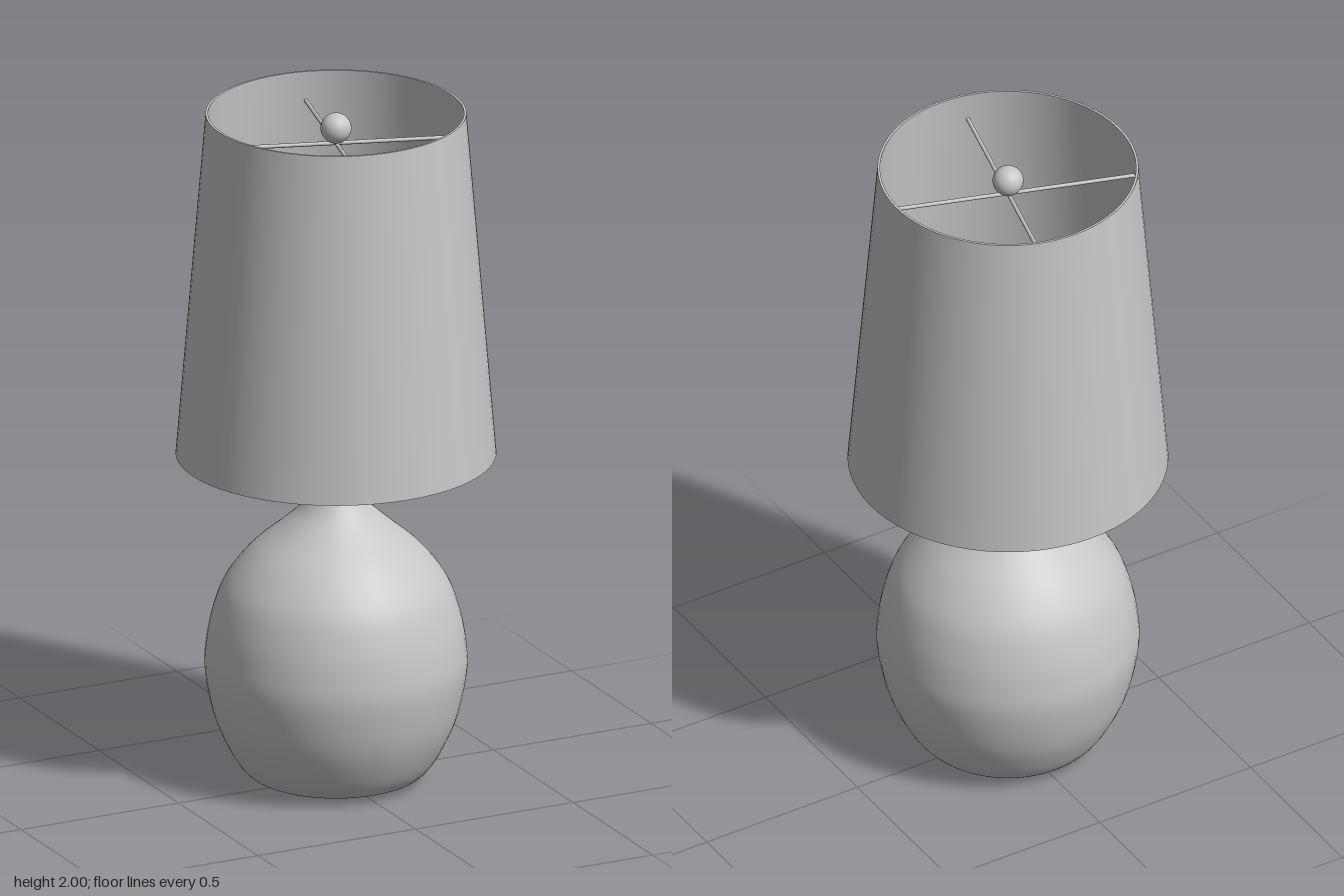
import * as THREE from 'three';

const grey = new THREE.MeshStandardMaterial({ color: 0xc6c6c6 });
grey.name = 'plain grey';

const points = (list) => list.map(([r, y]) => new THREE.Vector2(r, y));

// Smooth turned surface through a few radius/height points
function turned(name, list, samples) {
  const curve = new THREE.SplineCurve(points(list));
  const profile = curve.getPoints(samples);
  profile.forEach((p) => { p.x = Math.max(p.x, 0); });
  const mesh = new THREE.Mesh(new THREE.LatheGeometry(profile, 64), grey);
  mesh.name = name;
  return mesh;
}

// Cone-shaped wall between two rings, facing by order of the points
function ring(name, r1, y1, r2, y2) {
  const mesh = new THREE.Mesh(new THREE.LatheGeometry(points([[r1, y1], [r2, y2]]), 72), grey);
  mesh.name = name;
  return mesh;
}

export function createModel() {
  const lamp = new THREE.Group();
  lamp.name = 'tableLamp';

  // Gourd-shaped body with slightly domed foot
  lamp.add(turned('body', [
    [0, 0.005], [0.12, 0.009], [0.22, 0.018], [0.262, 0.04], [0.303, 0.1], [0.346, 0.2],
    [0.372, 0.33], [0.368, 0.42], [0.35, 0.51], [0.315, 0.6], [0.245, 0.69], [0.165, 0.76],
    [0.105, 0.815], [0.07, 0.87], [0.06, 0.92], [0.058, 0.97], [0.058, 1.025],
  ], 90));
  lamp.add(ring('neckTop', 0.058, 1.025, 0, 1.025));

  // Light bulb standing on the neck
  lamp.add(turned('bulb', [
    [0.05, 1.02], [0.052, 1.07], [0.064, 1.13], [0.084, 1.2], [0.097, 1.27],
    [0.095, 1.33], [0.07, 1.38], [0.035, 1.4], [0, 1.405],
  ], 40));

  // Tapered shade: outer wall, rims and inner wall
  const t = 0.007;
  const shade = new THREE.Group();
  shade.name = 'shade';
  shade.add(
    ring('shadeOuter', 0.455, 0.98, 0.37, 2),
    ring('shadeTopRim', 0.37, 2, 0.37 - t, 2),
    ring('shadeInner', 0.37 - t, 2, 0.455 - t, 0.98),
    ring('shadeBottomRim', 0.455 - t, 0.98, 0.455, 0.98),
  );
  lamp.add(shade);

  // Thin spokes holding the shade
  const spokes = new THREE.Group();
  spokes.name = 'spokes';
  for (const degrees of [18, 103.5]) {
    const spoke = new THREE.Mesh(new THREE.CylinderGeometry(0.006, 0.006, 0.738, 10), grey);
    spoke.name = 'spoke';
    spoke.rotation.z = Math.PI / 2;
    const pivot = new THREE.Group();
    pivot.rotation.y = -THREE.MathUtils.degToRad(degrees);
    pivot.position.y = 1.91;
    pivot.add(spoke);
    spokes.add(pivot);
  }
  lamp.add(spokes);

  // Ball finial above the crossing
  const finial = new THREE.Mesh(new THREE.SphereGeometry(0.044, 32, 20), grey);
  finial.name = 'finial';
  finial.position.y = 1.955;
  lamp.add(finial);

  return lamp;
}
